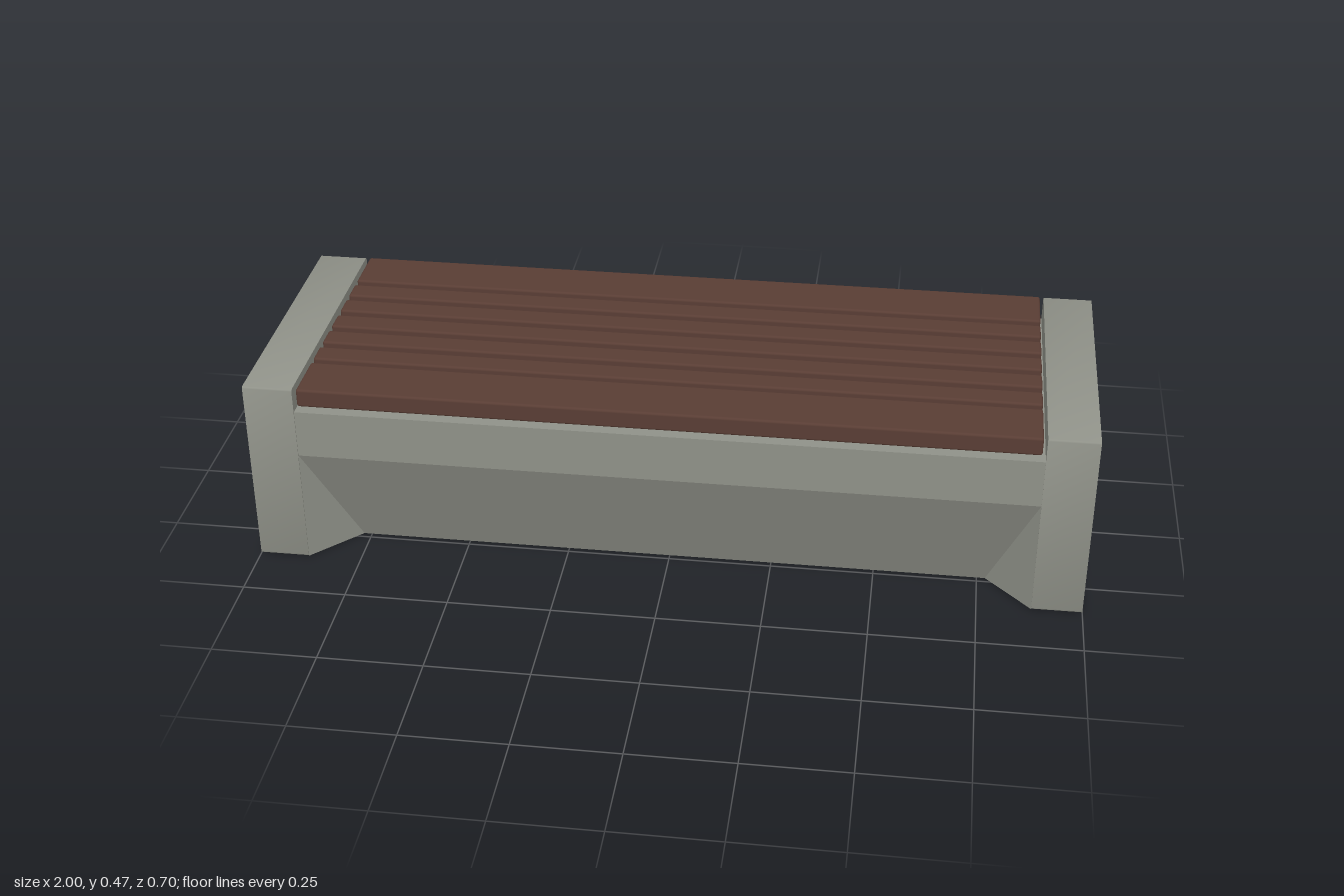
import * as THREE from 'three';
import { RoundedBoxGeometry } from 'three/addons/geometries/RoundedBoxGeometry.js';
import { toCreasedNormals } from 'three/addons/utils/BufferGeometryUtils.js';

const TOP = 0.472, DEPTH = 0.352, INNER = 0.88;

// Concrete core: a slab whose lower front and back slope inwards,
// flaring out again in one facet beside each end block.
function coreGeometry() {
  const section = (x, foot) => [
    [0, foot], [0.29, 0.35], [0.41, 0.35], [0.41, -0.35], [0.29, -0.35], [0, -foot],
  ].map(([y, z]) => [x, y, z]);
  const rings = [section(-INNER, 0.35), section(-0.77, 0.235), section(0.77, 0.235), section(INNER, 0.35)];
  const pos = [];
  const tri = (...pts) => pts.forEach((p) => pos.push(...p));
  for (let i = 0; i < 3; i++) {
    for (let j = 0; j < 6; j++) {
      const k = (j + 1) % 6;
      const a = rings[i][j], b = rings[i + 1][j], c = rings[i + 1][k], d = rings[i][k];
      // the diagonal follows the crease of the flared facets
      if ((j < 3) !== (i === 0)) { tri(a, b, c); tri(a, c, d); }
      else { tri(a, b, d); tri(b, c, d); }
    }
  }
  const g = new THREE.BufferGeometry();
  g.setAttribute('position', new THREE.Float32BufferAttribute(pos, 3));
  g.computeVertexNormals();
  return g;
}

// End block: rounded side profile extruded along x
function endGeometry() {
  const r = 0.01, w = DEPTH;
  const s = new THREE.Shape();
  s.moveTo(-w + r, 0);
  s.lineTo(w - r, 0);
  s.quadraticCurveTo(w, 0, w, r / 2);
  s.lineTo(w, TOP - r);
  s.quadraticCurveTo(w, TOP, w - r, TOP);
  s.lineTo(-w + r, TOP);
  s.quadraticCurveTo(-w, TOP, -w, TOP - r);
  s.lineTo(-w, r / 2);
  s.quadraticCurveTo(-w, 0, -w + r, 0);
  const g = new THREE.ExtrudeGeometry(s, { depth: 1 - INNER, bevelEnabled: false, curveSegments: 4 });
  g.translate(0, 0, -(1 - INNER) / 2);
  g.rotateY(Math.PI / 2);
  return toCreasedNormals(g, 0.6);
}

export function createModel() {
  const concrete = new THREE.MeshStandardMaterial({ color: 0x8f9188 });
  concrete.name = 'concrete';
  const wood = new THREE.MeshStandardMaterial({ color: 0x593d34 });
  wood.name = 'dark wood';

  const bench = new THREE.Group();
  bench.name = 'bench';
  const add = (name, geometry, material, x = 0, y = 0, z = 0) => {
    const m = new THREE.Mesh(geometry, material);
    m.name = name;
    m.position.set(x, y, z);
    bench.add(m);
  };

  add('core', coreGeometry(), concrete);
  const end = endGeometry();
  add('leftEnd', end, concrete, (1 + INNER) / 2);
  add('rightEnd', end, concrete, -(1 + INNER) / 2);

  // Cross bearers under the slats
  const bearer = new THREE.BoxGeometry(0.06, 0.018, 0.62);
  for (const x of [-0.59, 0, 0.59]) add('bearer', bearer, wood, x, 0.419, 0);

  // Wide edge planks and five narrow slats
  const slat = (name, z, width) =>
    add(name, new RoundedBoxGeometry(1.742, 0.046, width, 2, 0.006), wood, 0, TOP - 0.023, z);
  slat('frontPlank', 0.283, 0.136);
  slat('backPlank', -0.285, 0.134);
  for (let i = -2; i <= 2; i++) slat('slat', i * 0.083, 0.06);

  return bench;
}
